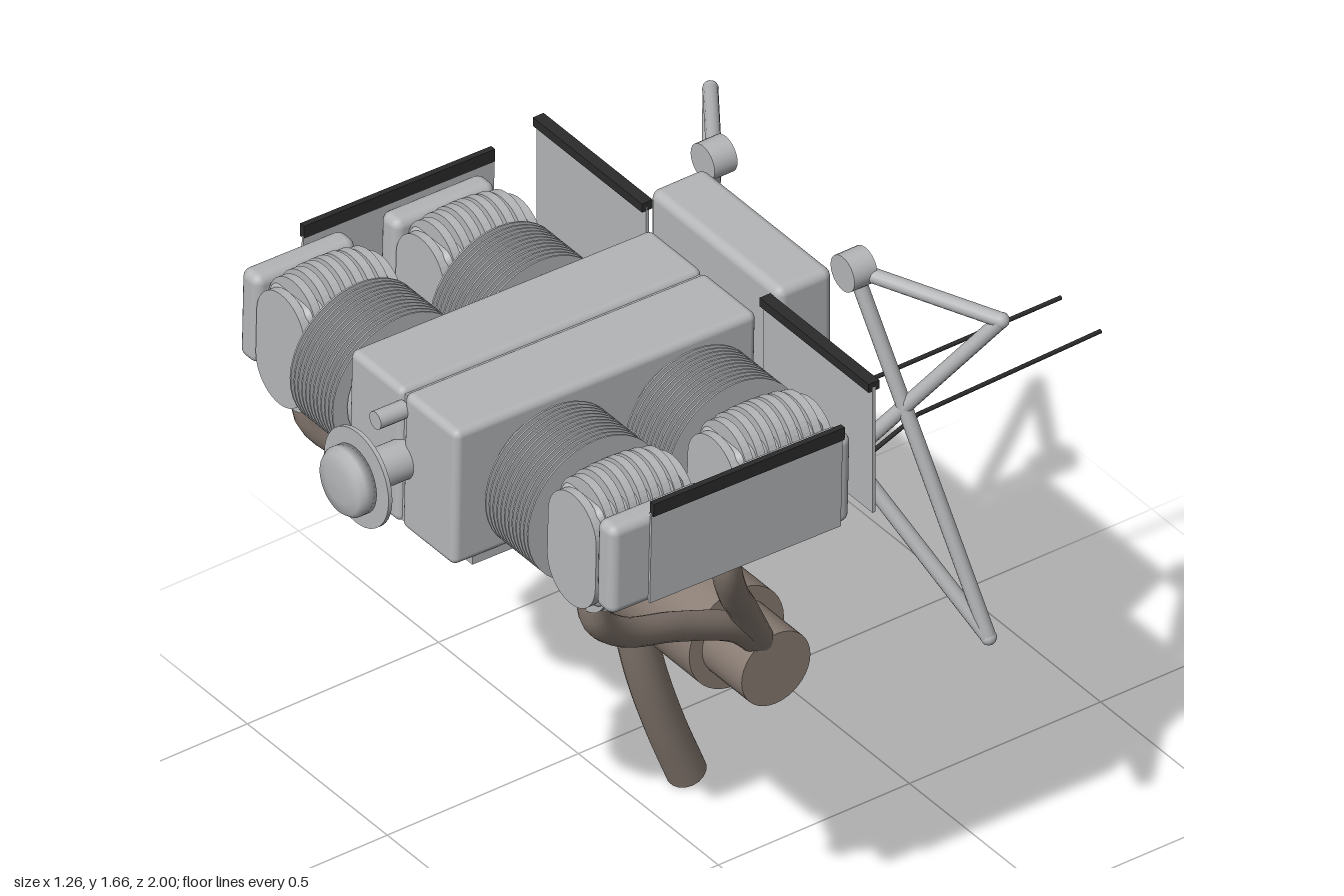
import * as THREE from 'three';
import { RoundedBoxGeometry } from 'three/addons/geometries/RoundedBoxGeometry.js';

const mat = (name, color) => {
  const m = new THREE.MeshStandardMaterial({ color });
  m.name = name;
  return m;
};
const V = (x, y, z) => new THREE.Vector3(x, y, z);

export function createModel() {
  const grey = mat('aluminium grey', 0xb4b6b8);
  const brown = mat('exhaust brown', 0x8a7d74);
  const black = mat('rubber black', 0x2b2b2b);
  const root = new THREE.Group();
  root.name = 'aircraftEngine';

  const add = (parent, name, geo, m, x = 0, y = 0, z = 0) => {
    const mesh = new THREE.Mesh(geo, m);
    mesh.name = name;
    mesh.position.set(x, y, z);
    parent.add(mesh);
    return mesh;
  };
  const rbox = (w, h, d, r) => new RoundedBoxGeometry(w, h, d, 3, r);
  const cylX = (r, len, seg = 32) => new THREE.CylinderGeometry(r, r, len, seg).rotateZ(Math.PI / 2);
  const cylZ = (r, len, seg = 32) => new THREE.CylinderGeometry(r, r, len, seg).rotateX(Math.PI / 2);
  const rod = (parent, name, a, b, r, m) => {
    const mesh = add(parent, name, new THREE.CylinderGeometry(r, r, a.distanceTo(b), 12), m);
    mesh.position.copy(a).add(b).multiplyScalar(0.5);
    mesh.quaternion.setFromUnitVectors(V(0, 1, 0), b.clone().sub(a).normalize());
  };
  const pipe = (parent, name, pts, r, m) =>
    add(parent, name, new THREE.TubeGeometry(new THREE.CatmullRomCurve3(pts), 28, r, 18), m);

  // engine core, nose tipped slightly upward
  const engine = new THREE.Group();
  engine.name = 'engineCore';
  engine.position.set(0, 1.398, 0.435);
  engine.rotation.x = -0.022;
  root.add(engine);

  // crankcase halves with a centre seam
  for (const s of [1, -1])
    add(engine, 'crankcaseHalf', rbox(0.189, 0.345, 0.79, 0.018), grey, s * 0.097, 0.002, 0);
  add(engine, 'crankcaseSeam', new THREE.BoxGeometry(0.03, 0.325, 0.77), grey);
  add(engine, 'sump', new THREE.BoxGeometry(0.37, 0.03, 0.72), grey, 0, -0.172, -0.02);

  // propeller shaft, flange, hub and sensor
  add(engine, 'propellerShaft', cylZ(0.045, 0.16), grey, 0, 0, 0.46);
  add(engine, 'propellerFlange', cylZ(0.115, 0.01, 40), grey, 0, 0, 0.507);
  const hub = [[0, 0], [0.08, 0], [0.08, 0.026], [0.07, 0.04], [0.04, 0.046], [0, 0.047]]
    .map(p => new THREE.Vector2(...p));
  add(engine, 'hub', new THREE.LatheGeometry(hub, 40).rotateX(Math.PI / 2), grey, 0, 0, 0.517);
  add(engine, 'shaftSensor', cylZ(0.021, 0.075, 18), grey, 0, 0.128, 0.428);

  // rounded cooling plate, stacked along z to form a cylinder head
  const headPlate = (halfH, depth) => {
    const w = 0.086, s = new THREE.Shape();
    s.absarc(0, halfH - w, w, 0, Math.PI, false);
    s.absarc(0, w - halfH, w, Math.PI, Math.PI * 2, false);
    s.closePath();
    return new THREE.ExtrudeGeometry(s, { depth, bevelEnabled: false, curveSegments: 10 })
      .translate(0, 0, -depth / 2);
  };

  // finned cylinders, heads and valve covers
  for (const s of [1, -1]) for (const z0 of [0.6, 0.235]) {
    const c = new THREE.Group();
    c.name = s > 0 ? 'leftCylinder' : 'rightCylinder';
    c.position.z = z0 - 0.435 + (s > 0 ? 0 : 0.07);
    engine.add(c);
    add(c, 'cylinderFlange', cylX(0.14, 0.028), grey, s * 0.206);
    add(c, 'barrel', cylX(0.118, 0.2), grey, s * 0.3);
    for (let i = 0; i < 12; i++)
      add(c, 'barrelFin', cylX(0.175, 0.004, 40), grey, s * (0.226 + i * 0.0136));
    add(c, 'headCore', rbox(0.155, 0.26, 0.24, 0.03), grey, s * 0.473);
    const n = 9;
    for (let i = 0; i < n; i++) {
      const t = (i / (n - 1)) * 2 - 1;
      add(c, 'headFin', headPlate(0.14 + 0.035 * Math.sqrt(1 - t * t), 0.02), grey, s * 0.473, 0, t * 0.12);
    }
    add(c, 'valveCover', rbox(0.062, 0.225, 0.265, 0.022), grey, s * 0.588, 0.018, 0);
  }

  // side baffles with sealing strips
  for (const s of [1, -1]) {
    add(engine, 'sideBaffle', new THREE.BoxGeometry(0.006, 0.23, 0.5), grey, s * 0.622, 0.025, -0.05);
    add(engine, 'sideBaffleSeal', new THREE.BoxGeometry(0.014, 0.032, 0.5), black, s * 0.625, 0.152, -0.05);
    // rear baffles
    add(root, 'rearBaffle', new THREE.BoxGeometry(0.39, 0.325, 0.008), grey, s * 0.405, 1.441, 0.032);
    add(root, 'rearBaffleSeal', new THREE.BoxGeometry(0.39, 0.022, 0.028), black, s * 0.405, 1.605, 0.032);
  }

  // rear accessory housing
  add(root, 'accessoryHousing', rbox(0.465, 0.495, 0.145, 0.022), grey, 0, 1.382, -0.06);
  add(root, 'housingCoupling', cylZ(0.12, 0.06), grey, 0, 1.4, 0.03);

  // mount bushings and struts
  for (const s of [1, -1]) {
    const top = V(s * 0.25, 1.622, -0.172), low = V(s * 0.25, 1.142, -0.157);
    const rearTop = V(s * 0.52, 1.565, -0.36), rearLow = V(s * 0.515, 0.752, -0.33);
    for (const p of [top, low]) {
      add(root, 'mountBushing', cylZ(0.043, 0.06, 24), grey, p.x, p.y, p.z);
      rod(root, 'mountStrut', p, rearTop, 0.017, grey);
      rod(root, 'mountStrut', p, rearLow, 0.017, grey);
    }
    for (const p of [rearTop, rearLow])
      add(root, 'strutJoint', new THREE.SphereGeometry(0.018, 12, 8), grey, p.x, p.y, p.z);
  }

  // muffler
  add(root, 'muffler', cylX(0.124, 0.308, 40), brown, 0, 0.71, 0.065);
  add(root, 'mufflerEnds', cylX(0.09, 0.59, 36), brown, 0, 0.71, 0.065);

  // exhaust headers
  for (const s of [1, -1]) {
    const d = s > 0 ? 0 : 0.06;
    pipe(root, 'frontHeader', [V(s * 0.47, 1.27, 0.68 + d), V(s * 0.465, 1.19, 0.66 + d),
      V(s * 0.425, 1.09, 0.56 + d), V(s * 0.36, 0.99, 0.38 + d * 0.6), V(s * 0.3, 0.87, 0.18 + d * 0.2),
      V(s * 0.255, 0.76, 0.075)], 0.033, brown);
    pipe(root, 'rearHeader', [V(s * 0.47, 1.27, 0.325 + d), V(s * 0.46, 1.17, 0.315 + d),
      V(s * 0.415, 1.06, 0.265 + d), V(s * 0.345, 0.95, 0.19 + d * 0.6), V(s * 0.255, 0.76, 0.075)], 0.033, brown);
  }

  // tail pipe with closed end
  const tail = [V(-0.245, 0.68, 0.065), V(-0.25, 0.54, 0.045), V(-0.262, 0.36, 0.0),
    V(-0.28, 0.18, -0.065), V(-0.297, 0.02, -0.133)];
  pipe(root, 'tailPipe', tail, 0.045, brown);
  const cap = add(root, 'tailPipeEnd', new THREE.CircleGeometry(0.045, 24), brown);
  cap.position.copy(tail[4]);
  cap.lookAt(tail[4].clone().multiplyScalar(2).sub(tail[3]));

  // control cables
  const cables = [
    [V(-0.142, 0.97, -1), V(-0.142, 0.968, -0.5), V(-0.158, 0.925, -0.1), V(-0.142, 0.89, 0.38)],
    [V(0, 0.965, -1), V(0.03, 0.978, -0.5), V(0.083, 0.888, -0.11), V(0.104, 0.908, 0.15)],
  ];
  for (const c of cables)
    for (let i = 0; i < c.length - 1; i++) rod(root, 'controlCable', c[i], c[i + 1], 0.005, black);

  return root;
}
